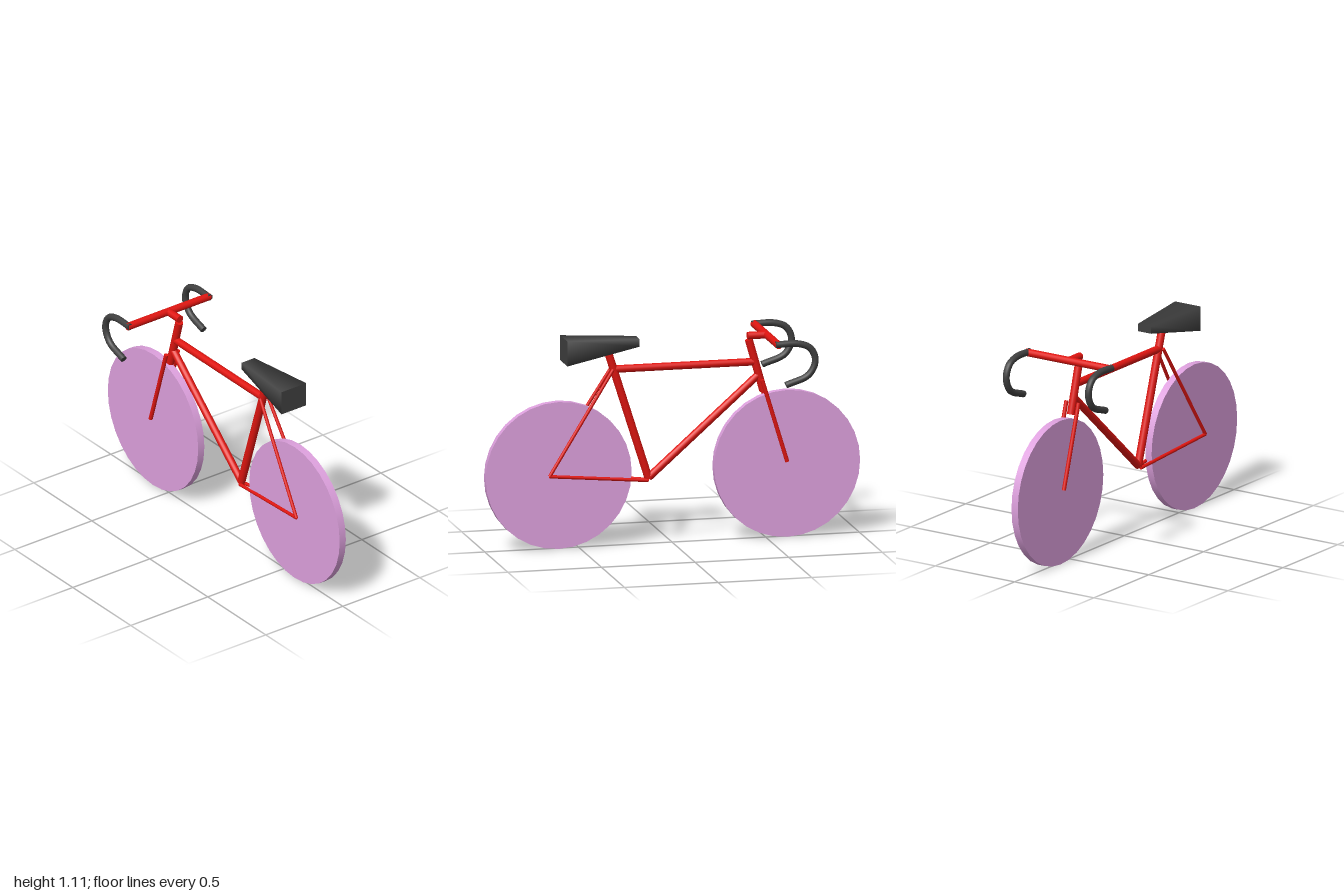
import * as THREE from 'three';

const paint = (color) => new THREE.MeshStandardMaterial({ color });

export function createModel() {
  const bike = new THREE.Group();
  const red = paint(0xe01510);
  const black = paint(0x404040);
  const plum = paint(0xdda0dd);

  function add(parent, name, geometry, material) {
    const mesh = new THREE.Mesh(geometry, material);
    mesh.name = name;
    parent.add(mesh);
    return mesh;
  }

  // Straight round tube between two points
  function rod(parent, name, from, to, radius, material = red) {
    const a = new THREE.Vector3(...from);
    const b = new THREE.Vector3(...to);
    const dir = b.clone().sub(a);
    const mesh = add(parent, name, new THREE.CylinderGeometry(radius, radius, dir.length(), 16), material);
    mesh.position.copy(a).add(b).multiplyScalar(0.5);
    mesh.quaternion.setFromUnitVectors(new THREE.Vector3(0, 1, 0), dir.normalize());
  }

  // Solid disc wheels
  for (const [name, z] of [['frontWheel', -0.61], ['rearWheel', 0.61]]) {
    const disc = new THREE.CylinderGeometry(0.39, 0.39, 0.04, 32).rotateZ(Math.PI / 2);
    add(bike, name, disc, plum).position.set(0, 0.39, z);
  }

  // Main frame
  const frame = new THREE.Group();
  frame.name = 'frame';
  bike.add(frame);
  rod(frame, 'seatTube', [0, 1.06, 0.352], [0, 0.345, 0.125], 0.021);
  rod(frame, 'topTube', [0, 0.935, 0.315], [0, 0.935, -0.45], 0.02);
  rod(frame, 'downTube', [0, 0.35, 0.125], [0, 0.865, -0.46], 0.02);
  rod(frame, 'headTube', [0, 1.055, -0.41], [0, 0.78, -0.487], 0.021);
  rod(frame, 'stem', [0, 1.075, -0.403], [0, 1.075, -0.5], 0.02);

  // Paired stays, fork blades and drops
  for (const [side, s] of [['left', 1], ['right', -1]]) {
    rod(frame, side + 'SeatStay', [s * 0.024, 0.938, 0.32], [s * 0.05, 0.393, 0.666], 0.009);
    rod(frame, side + 'ChainStay', [s * 0.05, 0.393, 0.666], [s * 0.013, 0.337, 0.13], 0.009);
    rod(bike, side + 'ForkBlade', [s * 0.038, 0.845, -0.472], [s * 0.038, 0.404, -0.606], 0.011);

    const curve = new THREE.CatmullRomCurve3([
      [1.077, -0.49], [1.077, -0.61], [1.05, -0.675], [0.985, -0.702], [0.91, -0.667], [0.86, -0.545],
    ].map(([y, z]) => new THREE.Vector3(s * 0.259, y, z)));
    const drop = new THREE.Group();
    drop.name = side + 'Drop';
    bike.add(drop);
    add(drop, 'grip', new THREE.TubeGeometry(curve, 32, 0.018, 12), black);
    // Caps close both ends of the grip
    for (const t of [0, 1]) {
      const cap = add(drop, 'gripCap', new THREE.CircleGeometry(0.018, 12), black);
      const out = curve.getTangentAt(t).multiplyScalar(t ? 1 : -1);
      cap.position.copy(curve.getPointAt(t));
      cap.quaternion.setFromUnitVectors(new THREE.Vector3(0, 0, 1), out);
    }
  }

  // Handlebar
  rod(bike, 'handlebar', [-0.267, 1.075, -0.505], [0.267, 1.075, -0.505], 0.02);

  // Saddle: four-sided taper, broad at the rear and slim at the nose
  const saddle = new THREE.CylinderGeometry(Math.SQRT2, Math.SQRT2, 1, 4)
    .rotateY(Math.PI / 4).rotateX(Math.PI / 2);
  const p = saddle.attributes.position;
  for (let i = 0; i < p.count; i++) {
    const t = p.getZ(i) + 0.5; // 0 at the nose, 1 at the rear
    p.setXYZ(i,
      p.getX(i) * THREE.MathUtils.lerp(0.041, 0.08, t),
      THREE.MathUtils.lerp(1.076, 1.046, t) + p.getY(i) * THREE.MathUtils.lerp(0.02, 0.066, t),
      THREE.MathUtils.lerp(0.183, 0.578, t));
  }
  add(bike, 'saddle', saddle, black);

  return bike;
}
